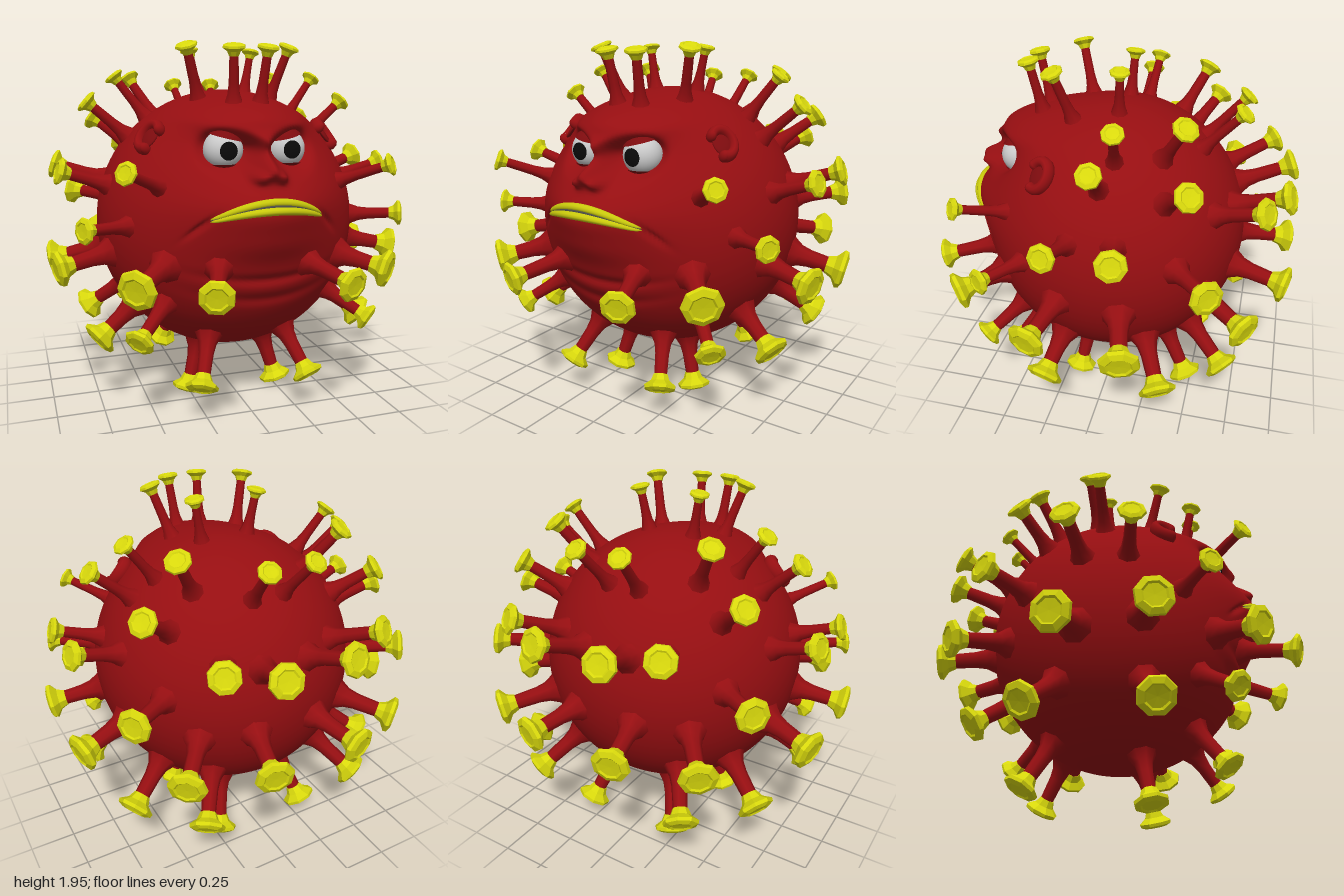
import * as THREE from 'three';
import { mergeVertices } from 'three/addons/utils/BufferGeometryUtils.js';
import { ParametricGeometry } from 'three/addons/geometries/ParametricGeometry.js';

const CY = 0.995, R = 0.722;
const mat = (color, extra = {}) => new THREE.MeshStandardMaterial({ color, ...extra });
const red = mat(0x960e11), redShell = mat(0x7d0b0e, { side: THREE.DoubleSide });
const yellow = mat(0xd8d80c, { flatShading: true });
const lipYellow = mat(0xc9c90c, { side: THREE.DoubleSide });
const white = mat(0xdcdcdc), black = mat(0x0a0a0a);

function add(parent, name, geometry, material) {
  const mesh = new THREE.Mesh(geometry, material);
  mesh.name = name;
  parent.add(mesh);
  return mesh;
}

const bump = (dx, dy, sx, sy) => Math.exp(-((dx / sx) ** 2) - (dy / sy) ** 2);

// Forward push of the face at (x, y)
function relief(x, y) {
  const a = Math.abs(x);
  let f = 0.18 * bump(x, y - 1.58, 0.34, 0.11);                        // forehead
  f += 0.05 * bump(x, y - 1.47 - 0.3 * a, 0.26, 0.04);                 // angry brow
  f += 0.12 * bump(x, y - 1.34, 0.055, 0.055);                         // nose tip
  f += 0.05 * bump(x, y - 1.43, 0.04, 0.07);                           // nose bridge
  f += 0.07 * bump(a - 0.06, y - 1.305, 0.035, 0.03);                  // nostril wings
  f += 0.115 * bump(x, y - 1.15, 0.34, 0.15);                          // muzzle
  f += 0.025 * bump(x, y - 0.97, 0.26, 0.08);                          // chin
  f -= 0.02 * bump(x, y - 0.79 - 0.3 * x * x, 0.3, 0.025);             // chin fold
  f -= 0.015 * bump(x, y - 0.68 - 0.4 * x * x, 0.3, 0.03);             // lower fold
  f -= 0.025 * bump(a - 0.33, y - 1.07 + 0.9 * (a - 0.33), 0.06, 0.018); // mouth crease
  const d = Math.hypot((a - 0.165) / 0.125, (y - 1.42) / 0.1);
  f -= 0.09 * Math.exp(-(d ** 4));                                     // eye socket
  return f;
}

const surfaceZ = (x, y) => Math.sqrt(Math.max(0, R * R - x * x - (y - CY) ** 2)) + relief(x, y);

function bodyGeometry() {
  let g = new THREE.SphereGeometry(R, 192, 150).rotateX(Math.PI / 2).translate(0, CY, 0);
  g.deleteAttribute('uv');
  g.deleteAttribute('normal');
  g = mergeVertices(g, 1e-5);
  const p = g.attributes.position;
  for (let i = 0; i < p.count; i++) {
    const z = p.getZ(i);
    const mask = THREE.MathUtils.smoothstep(z, 0, 0.3);
    p.setZ(i, z + mask * relief(p.getX(i), p.getY(i)));
  }
  g.computeVertexNormals();
  return g;
}

// Tapered lip that arches across the muzzle
function lipGeometry(midY, drop, thick, out) {
  return new ParametricGeometry((u, v, target) => {
    const x = (u - 0.5) * 0.58, t = Math.abs(x) / 0.29, ang = v * Math.PI * 2;
    const taper = Math.sqrt(Math.max(0, 1 - t * t)) + 0.03;
    const y = midY - drop * t * t;
    target.set(x, y + Math.cos(ang) * thick * taper,
      surfaceZ(x, y) + Math.sin(ang) * out * taper);
  }, 40, 12);
}

// Cap centre x, y, z and cap radius; each is mirrored to the other side
const SPIKES = [
  [0.09, 1.91, 0.45, 0.06], [0.28, 1.925, 0.26, 0.06], [0.18, 1.92, -0.055, 0.053],
  [0.59, 1.78, -0.12, 0.057], [0.75, 1.645, -0.05, 0.065], [0.455, 1.775, -0.425, 0.068],
  [0.125, 1.745, -0.67, 0.06], [0.66, 1.545, -0.48, 0.075], [0.44, 1.38, -0.825, 0.082],
  [0.19, 1.345, -0.93, 0.09], [0.245, 0.855, -0.955, 0.1], [0.61, 0.81, -0.78, 0.1],
  [0.78, 1.105, -0.6, 0.09], [0.915, 1.305, -0.19, 0.08], [0.915, 1.295, 0.13, 0.072],
  [0.67, 1.335, 0.67, 0.06], [0.84, 1.05, 0.49, 0.068], [0.94, 0.815, 0.225, 0.1],
  [0.93, 0.765, -0.23, 0.107], [0.635, 0.81, 0.71, 0.104], [0.33, 0.81, 0.93, 0.088],
  [0.61, 0.515, 0.59, 0.08], [0.75, 0.425, 0.22, 0.1], [0.73, 0.43, -0.385, 0.1],
  [0.46, 0.42, -0.685, 0.096], [0.29, 0.228, 0.55, 0.088], [0.26, 0.067, 0.17, 0.092],
  [0.27, 0.148, -0.47, 0.096],
];

const lathe = (pts) => new THREE.LatheGeometry(pts.map(([r, y]) => new THREE.Vector2(r, y)), 8);

function spike(tip, base, r) {
  const g = new THREE.Group();
  g.name = 'spike';
  const axis = tip.clone().sub(base), len = axis.length();
  g.position.copy(base);
  g.quaternion.setFromUnitVectors(new THREE.Vector3(0, 1, 0), axis.normalize());
  // Stalk flares where it leaves the body
  add(g, 'stalk', lathe([[1.15 * r, 0], [0.8 * r, 0.04], [0.55 * r, 0.085],
    [0.45 * r, 0.14], [0.4 * r, len - 0.4 * r]]), red);
  // Eight-sided flared cap with a shallow dish
  const cap = add(g, 'spikeCap', lathe([[0, -0.6 * r], [0.44 * r, -0.6 * r], [0.6 * r, -0.2 * r],
    [r, 0.1 * r], [0.96 * r, 0.28 * r], [0.66 * r, 0.4 * r], [0.56 * r, 0.33 * r], [0, 0.31 * r]]), yellow);
  cap.position.y = len;
  return g;
}

function eye(side) {
  const g = new THREE.Group();
  g.name = 'eye';
  g.position.set(side * 0.165, 1.42, 0.505);
  add(g, 'eyeball', new THREE.SphereGeometry(0.1, 32, 24), white);
  const pupil = add(g, 'pupil', new THREE.SphereGeometry(0.102, 24, 6, 0, Math.PI * 2, 0, 0.46), black);
  pupil.rotation.x = Math.PI / 2;
  const upper = add(g, 'upperLid', new THREE.SphereGeometry(0.108, 32, 10, 0, Math.PI * 2, 0, 0.95), redShell);
  upper.rotation.set(0.08, 0, side * 0.22);
  const lower = add(g, 'lowerLid', new THREE.SphereGeometry(0.107, 32, 10, 0, Math.PI * 2, 0, 0.85), redShell);
  lower.rotation.set(Math.PI - 0.05, 0, 0);
  return g;
}

function ear(side) {
  const g = new THREE.Group();
  g.name = 'ear';
  const n = new THREE.Vector3(side * 0.5, 0.42, 0.28).normalize();
  g.position.set(side * 0.485, 1.475, 0.285);
  g.lookAt(g.position.clone().add(n));
  // Rim runs from the front over the top and back to the lobe
  const arc = 4.3, start = -1.8;
  const rim = add(g, 'earRim', new THREE.TorusGeometry(0.06, 0.024, 10, 28, arc), red);
  rim.rotation.z = side > 0 ? start : Math.PI - start - arc;
  rim.scale.z = 1.6;
  for (const a of [start, start + arc]) {
    const end = add(g, 'earRimEnd', new THREE.SphereGeometry(0.024, 12, 8), red);
    end.position.set(side * Math.cos(a) * 0.06, Math.sin(a) * 0.06, 0);
    end.scale.z = 1.6;
  }
  const hollow = add(g, 'earHollow', new THREE.SphereGeometry(0.055, 16, 10), redShell);
  hollow.scale.z = 0.25;
  g.scale.y = 1.2;
  return g;
}

export function createModel() {
  const model = new THREE.Group();
  model.name = 'spikyBall';
  add(model, 'body', bodyGeometry(), red);

  // Frowning mouth
  add(model, 'upperLip', lipGeometry(1.192, 0.085, 0.02, 0.022), lipYellow);
  add(model, 'lowerLip', lipGeometry(1.155, 0.058, 0.02, 0.028), lipYellow);
  add(model, 'mouthGap', lipGeometry(1.174, 0.072, 0.012, 0.014), mat(0x4a4a44, { side: THREE.DoubleSide }));

  const centre = new THREE.Vector3(0, CY, 0);
  for (const side of [1, -1]) {
    model.add(eye(side), ear(side));
    SPIKES.forEach(([x, y, z, r], i) => {
      const tip = new THREE.Vector3(side * x, y, z);
      const base = tip.clone().sub(centre).setLength(0.685).add(centre);
      if (i === 0) base.set(side * 0.07, 1.61, 0.385); // rises from the forehead
      model.add(spike(tip, base, r));
    });
  }
  return model;
}
